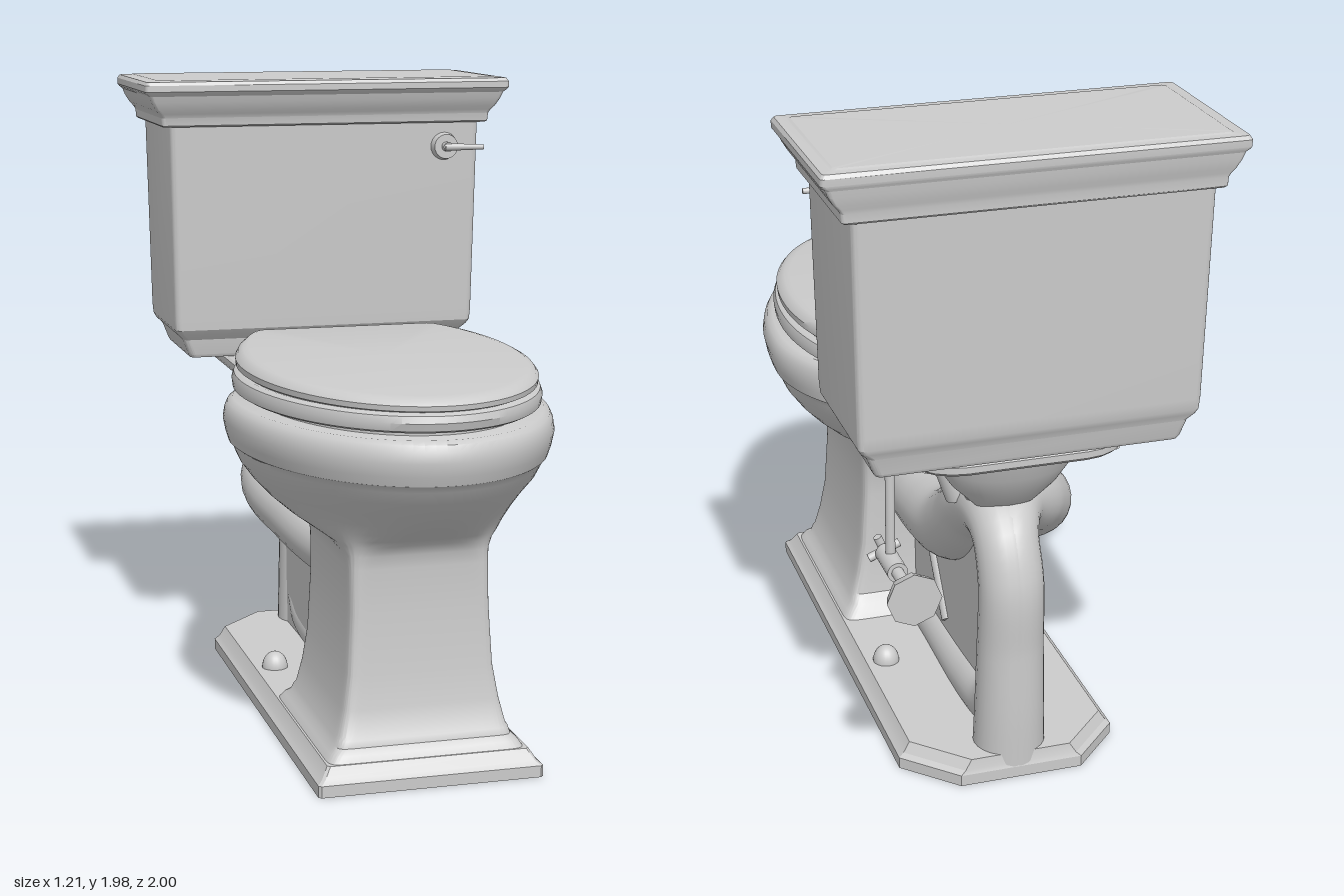
import * as THREE from 'three';
import { toCreasedNormals } from 'three/addons/utils/BufferGeometryUtils.js';

const material = new THREE.MeshStandardMaterial({ color: 0xcccccc });
const V = (x, y, z) => new THREE.Vector3(x, y, z);

// Skin a stack of closed rings (bottom to top) and cap both ends
function loft(rings, crease = 0.6) {
  const n = rings[0].length, pos = [], idx = [];
  for (const ring of rings) for (const p of ring) pos.push(p.x, p.y, p.z);
  for (let k = 0; k < rings.length - 1; k++) {
    for (let i = 0; i < n; i++) {
      const j = (i + 1) % n, a = k * n + i, b = k * n + j;
      idx.push(a, b, b + n, a, b + n, a + n);
    }
  }
  [0, rings.length - 1].forEach((k, top) => {
    const c = rings[k].reduce((s, p) => s.add(p), V(0, 0, 0)).divideScalar(n);
    const m = pos.length / 3;
    pos.push(c.x, c.y, c.z);
    for (let i = 0; i < n; i++) {
      const a = k * n + i, b = k * n + (i + 1) % n;
      if (top) idx.push(m, a, b); else idx.push(m, b, a);
    }
  });
  const g = new THREE.BufferGeometry();
  g.setAttribute('position', new THREE.Float32BufferAttribute(pos, 3));
  g.setIndex(idx);
  return toCreasedNormals(g, crease);
}

// Rounded rectangle ring; n = 1 turns the corners into chamfers
function rect(y, w, zf, zb, r = 0.02, rBack = r, n = 5) {
  const pts = [];
  [[1, 1], [1, -1], [-1, -1], [-1, 1]].forEach(([sx, sz], q) => {
    const rad = sz > 0 ? r : rBack;
    for (let i = 0; i <= n; i++) {
      const t = (q + i / n) * Math.PI / 2;
      pts.push(V(sx * (w - rad) + rad * Math.sin(t), y,
        (sz > 0 ? zf - rad : zb + rad) + rad * Math.cos(t)));
    }
  });
  return pts;
}

// Egg ring around zc; a small exponent e squares it off towards a rectangle
function egg(y, w, zf, zb, zc = 0.28, e = 1) {
  const pts = [], power = v => Math.sign(v) * Math.abs(v) ** e;
  for (let i = 0; i < 96; i++) {
    const t = (i + 0.5) / 96 * Math.PI * 2, c = power(Math.cos(t));
    pts.push(V(w * power(Math.sin(t)), y, zc + c * (c > 0 ? zf - zc : zc - zb)));
  }
  return pts;
}

// Egg ring cut straight at the back; slope lifts the rear
function cutEgg(y, w, zf, cut, slope = 0) {
  return egg(y, w, zf, -0.35).map(p => {
    const z = Math.max(cut, p.z);
    return V(p.x, y + slope * (0.95 - z), z);
  });
}

// Tube whose radius follows a list of values along the path
function taperedTube(points, radii, steps = 64, sides = 24) {
  const curve = new THREE.CatmullRomCurve3(points.map(p => V(...p)));
  const g = new THREE.TubeGeometry(curve, steps, 1, sides);
  const p = g.attributes.position;
  for (let i = 0; i < p.count; i++) {
    const u = Math.floor(i / (sides + 1)) / steps, f = u * (radii.length - 1);
    const k = Math.min(Math.floor(f), radii.length - 2);
    const r = THREE.MathUtils.lerp(radii[k], radii[k + 1], f - k);
    const c = curve.getPointAt(u);
    const v = V(0, 0, 0).fromBufferAttribute(p, i).sub(c).multiplyScalar(r).add(c);
    p.setXYZ(i, v.x, v.y, v.z);
  }
  return g;
}

// Cylinder from a to b
function rod(a, b, r1, r2 = r1, sides = 20) {
  const A = V(...a), B = V(...b), d = B.clone().sub(A);
  const g = new THREE.CylinderGeometry(r2, r1, d.length(), sides);
  g.applyQuaternion(new THREE.Quaternion().setFromUnitVectors(V(0, 1, 0), d.normalize()));
  const c = A.add(B).multiplyScalar(0.5);
  return g.translate(c.x, c.y, c.z);
}

export function createModel() {
  const model = new THREE.Group();
  const add = (name, geometry) => {
    const m = new THREE.Mesh(geometry, material);
    m.name = name;
    model.add(m);
    return m;
  };

  // Floor slab with chamfered rear corners
  add('base', loft([
    [0, 0.34, 0.82, -0.82], [0.035, 0.34, 0.82, -0.82], [0.048, 0.325, 0.805, -0.815], [0.08, 0.305, 0.785, -0.81],
  ].map(([y, w, f, b]) => rect(y, w, f, b, 0.008, 0.15, 1)), 0.3));

  // Pedestal with stepped foot, blending up into the bowl and its moulded rim
  add('pedestalAndBowl', loft([
    [0.07, 0.305, 0.785, 0.1, 0.44, 0.1], [0.1, 0.285, 0.77, 0.12, 0.44, 0.1], [0.115, 0.268, 0.752, 0.14, 0.44, 0.1],
    [0.135, 0.262, 0.747, 0.15, 0.44, 0.1], [0.145, 0.256, 0.74, 0.16, 0.44, 0.1], [0.22, 0.238, 0.725, 0.17, 0.44, 0.1],
    [0.32, 0.222, 0.71, 0.175, 0.44, 0.1], [0.5, 0.212, 0.702, 0.175, 0.44, 0.11], [0.63, 0.212, 0.7, 0.17, 0.43, 0.13],
    [0.67, 0.218, 0.705, 0.15, 0.42, 0.2], [0.7, 0.24, 0.72, 0.1, 0.4, 0.35], [0.72, 0.275, 0.745, 0.04, 0.37, 0.55],
    [0.745, 0.32, 0.785, -0.03, 0.33, 0.8], [0.78, 0.363, 0.835, -0.09, 0.3, 0.95],
    [0.82, 0.4, 0.88, -0.13], [0.87, 0.437, 0.93, -0.16], [0.91, 0.455, 0.96, -0.18],
    [0.925, 0.46, 0.97, -0.19], [0.932, 0.47, 0.98, -0.2], [0.96, 0.479, 0.99, -0.2], [1.0, 0.487, 1.0, -0.2],
    [1.03, 0.482, 0.995, -0.2], [1.05, 0.472, 0.985, -0.2], [1.06, 0.455, 0.967, -0.2],
  ].map(r => egg(...r))));

  // Rear shelf, the narrow neck below it and the outlet under the tank
  add('tankDeck', loft([
    rect(1.03, 0.325, 0.05, -0.83, 0.15), rect(1.04, 0.33, 0.05, -0.84, 0.15),
    rect(1.06, 0.33, 0.05, -0.84, 0.15), rect(1.066, 0.322, 0.04, -0.83, 0.15),
  ]));
  add('neck', loft([
    [0.66, 0.03, 0.15, -0.18], [0.7, 0.06, 0.15, -0.28], [0.74, 0.085, 0.15, -0.42], [0.82, 0.1, 0.15, -0.6],
    [0.9, 0.12, 0.12, -0.66], [0.97, 0.15, 0.1, -0.7], [1.01, 0.2, 0.08, -0.74], [1.035, 0.3, 0.05, -0.8],
  ].map(([y, w, f, b]) => rect(y, w, f, b, 0.03)), 0.9));
  add('tankOutlet', loft([
    [0.8, 0.06, -0.52, -0.64], [0.85, 0.11, -0.5, -0.69], [0.9, 0.16, -0.49, -0.73], [0.96, 0.2, -0.48, -0.765],
    [1.035, 0.22, -0.47, -0.79],
  ].map(([y, w, f, b]) => egg(y, w, f, b, -0.62)), 0.9));
  for (const s of [1, -1]) add('deckBoltColumn', rod([s * 0.1, 0.8, -0.49], [s * 0.19, 1.04, -0.49], 0.04, 0.033));

  // Trapway: a straight lobe and a lobe swinging sideways, joined over the arch
  const radii = [0.118, 0.12, 0.122, 0.12, 0.105, 0.09, 0.088, 0.09, 0.095, 0.1];
  const path = [
    [0, 0.515, 0.25, 0], [-0.02, 0.515, 0.1, 0], [-0.07, 0.525, -0.04, 0.01], [-0.14, 0.56, -0.2, 0.04],
    [-0.195, 0.64, -0.33, 0.03], [-0.15, 0.735, -0.44, 0], [-0.05, 0.782, -0.56, 0], [0, 0.745, -0.67, 0],
    [0, 0.62, -0.725, 0], [0, 0.4, -0.725, 0], [0, 0.2, -0.725, 0], [0, 0.04, -0.72, 0],
  ];
  add('trapway', taperedTube(path.map(([, y, z]) => [0.02, y, z]), radii));
  add('trapwaySideLobe', taperedTube(path.map(([x, y, z, lift]) => [x, y + lift, z]), radii));
  add('trapwayFoot', taperedTube([
    [0, 0.36, -0.72], [0, 0.22, -0.68], [0, 0.13, -0.58], [0, 0.1, -0.4], [0, 0.09, 0.2],
  ], [0.07, 0.085, 0.085, 0.08, 0.08], 32));

  // Web wall under the trapway, pierced by a round hole
  const web = new THREE.Shape([
    [0.25, 0.05], [0.25, 0.44], [0, 0.45], [-0.2, 0.49], [-0.36, 0.6], [-0.46, 0.7],
    [-0.54, 0.75], [-0.64, 0.7], [-0.7, 0.6], [-0.7, 0.05],
  ].map(([z, y]) => new THREE.Vector2(-z, y)));
  web.holes.push(new THREE.Path().absellipse(0.54, 0.637, 0.066, 0.06, 0, Math.PI * 2, true));
  const webGeo = new THREE.ExtrudeGeometry(web, { depth: 0.12, bevelEnabled: false, curveSegments: 24 });
  add('webWall', webGeo.rotateY(Math.PI / 2).translate(-0.08, 0, 0));
  for (const x of [0.03, -0.07]) add('webRib', rod([x, 0.44, 0.01], [x, 0.2, -0.18], 0.025));

  // Floor bolt caps
  for (const s of [1, -1]) {
    const cap = new THREE.SphereGeometry(0.042, 20, 10, 0, Math.PI * 2, 0, Math.PI / 2);
    add('boltCap', cap.scale(1, 1.25, 1).translate(s * 0.24, 0.08, -0.17));
  }

  // Seat, lid and hinges
  add('seat', loft([
    [1.075, 0.435, 0.94], [1.082, 0.447, 0.955], [1.105, 0.45, 0.962], [1.125, 0.443, 0.955], [1.133, 0.43, 0.935],
  ].map(([y, w, f]) => cutEgg(y, w, f, -0.17))));
  add('seatCushion', loft([cutEgg(1.05, 0.4, 0.9, -0.12), cutEgg(1.08, 0.4, 0.9, -0.12)]));
  add('lid', loft([
    [1.13, 0.42, 0.93, -0.17, 0.004], [1.137, 0.436, 0.95, -0.18, 0.01], [1.152, 0.438, 0.952, -0.185, 0.017],
    [1.163, 0.428, 0.94, -0.18, 0.023], [1.169, 0.412, 0.922, -0.17, 0.027], [1.172, 0.395, 0.9, -0.16, 0.027],
  ].map(r => cutEgg(...r))));
  for (const s of [1, -1]) {
    const hinge = loft([rect(1.06, 0.048, -0.16, -0.29, 0.02), rect(1.08, 0.048, -0.16, -0.29, 0.02),
      rect(1.1, 0.038, -0.16, -0.24, 0.02)]);
    add('hinge', hinge).position.x = s * 0.18;
  }

  // Tank with stepped bottom
  add('tank', loft([
    [1.07, 0.45, -0.455, -0.85], [1.08, 0.456, -0.45, -0.855], [1.13, 0.475, -0.445, -0.86], [1.15, 0.495, -0.43, -0.87],
    [1.165, 0.503, -0.42, -0.875], [1.2, 0.506, -0.418, -0.876], [1.85, 0.518, -0.4, -0.885],
  ].map(([y, w, f, b]) => rect(y, w, f, b, 0.02)), 0.4));

  // Tank lid with moulded edge and slightly raised panel
  add('tankLid', loft([
    [1.83, 0.54, -0.39, -0.892], [1.835, 0.546, -0.383, -0.895], [1.86, 0.548, -0.38, -0.895],
    [1.872, 0.555, -0.374, -0.897], [1.885, 0.567, -0.366, -0.9], [1.91, 0.582, -0.356, -0.904],
    [1.93, 0.59, -0.35, -0.906], [1.938, 0.6, -0.343, -0.91], [1.945, 0.605, -0.338, -0.912],
    [1.965, 0.605, -0.338, -0.912], [1.976, 0.598, -0.345, -0.905], [1.977, 0.567, -0.373, -0.877],
    [1.98, 0.56, -0.38, -0.87],
  ].map(([y, w, f, b]) => rect(y, w, f, b, 0.012)), 0.35));

  // Flush handle
  add('handlePlate', rod([0.4, 1.752, -0.41], [0.4, 1.752, -0.375], 0.047, 0.04, 24));
  add('handleStem', rod([0.4, 1.752, -0.38], [0.4, 1.752, -0.35], 0.016));
  add('handleLever', rod([0.39, 1.752, -0.357], [0.52, 1.75, -0.35], 0.013, 0.008));

  // Water supply: wall plate, pipe, valve and riser
  add('wallPlate', rod([0.385, 0.755, -1], [0.385, 0.755, -0.965], 0.08, 0.07, 8));
  add('wallPlateCone', rod([0.385, 0.755, -0.965], [0.385, 0.755, -0.945], 0.06, 0.025, 8));
  add('supplyPipe', rod([0.385, 0.755, -0.95], [0.385, 0.755, -0.68], 0.018));
  add('valveBody', rod([0.385, 0.755, -0.83], [0.385, 0.755, -0.7], 0.03));
  add('riser', rod([0.385, 0.755, -0.755], [0.385, 1.08, -0.755], 0.014));
  for (const a of [0.4, 0.4 + Math.PI / 2]) {
    const x = 0.05 * Math.sin(a), y = 0.05 * Math.cos(a);
    add('valveHandle', rod([0.385 - x, 0.755 - y, -0.685], [0.385 + x, 0.755 + y, -0.685], 0.013, 0.013, 10));
  }
  return model;
}
